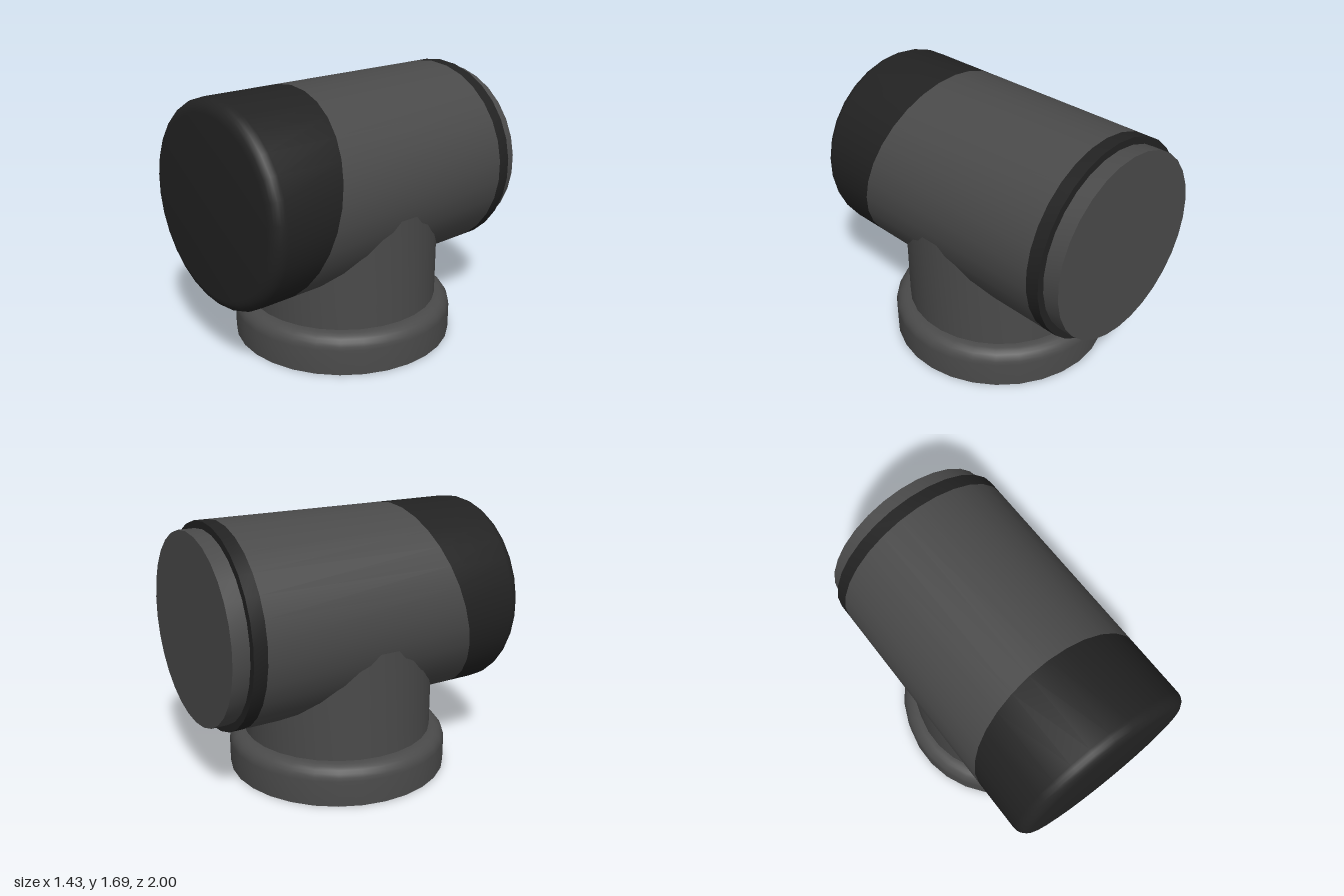
import * as THREE from 'three';
import { toCreasedNormals } from 'three/addons/utils/BufferGeometryUtils.js';

const SIDES = 30;
const AXIS_Y = 1.055;   // height of the barrel axis
const BARREL_R = 0.635;
const SEAM_Z = 0.565;   // slanted seam between body and front cap
const SEAM_SLOPE = -0.26;

const grey = new THREE.MeshStandardMaterial({ color: 0x4a4a4a });
const black = new THREE.MeshStandardMaterial({ color: 0x222222 });

// Quarter-round corner, from the side wall (r) up to the top face (h)
function roundedCorner(r, h, radius, steps = 6) {
  const pts = [];
  for (let i = 0; i <= steps; i++) {
    const a = (i / steps) * Math.PI / 2;
    pts.push([r - radius + radius * Math.cos(a), h - radius + radius * Math.sin(a)]);
  }
  return pts;
}

function lathe(profile) {
  return new THREE.LatheGeometry(profile.map(([r, h]) => new THREE.Vector2(r, h)), SIDES);
}

function part(name, geometry, material) {
  const mesh = new THREE.Mesh(toCreasedNormals(geometry, Math.PI / 6), material);
  mesh.name = name;
  return mesh;
}

// Turned part lying along z; vertices on the seam are slid onto the slanted plane
function barrelPart(name, profile, material) {
  const geometry = lathe(profile).rotateX(Math.PI / 2);
  const p = geometry.attributes.position;
  for (let i = 0; i < p.count; i++) {
    if (Math.abs(p.getZ(i) - SEAM_Z) < 1e-4) p.setZ(i, SEAM_Z + SEAM_SLOPE * p.getY(i));
  }
  geometry.translate(0, AXIS_Y, 0);
  return part(name, geometry, material);
}

export function createModel() {
  const model = new THREE.Group();
  model.name = 'teeFitting';

  // Horizontal barrel, back to front
  model.add(
    barrelPart('backPlug', [[0, -1], [0.59, -1], [0.59, -0.88]], grey),
    barrelPart('backRing', [[0.55, -0.895], [BARREL_R, -0.895], [BARREL_R, -0.81]], black),
    barrelPart('barrel', [[BARREL_R, -0.81], [BARREL_R, SEAM_Z]], grey),
    barrelPart('frontCap', [[BARREL_R, SEAM_Z], ...roundedCorner(BARREL_R, 1, 0.08), [0, 1]], black),
  );

  // Vertical neck, running up into the barrel
  model.add(part('neck', lathe([[0.62, 0.2], [0.62, 1.0]]), grey));

  // Collar with rounded shoulder and a recessed underside
  model.add(
    part('collar', lathe([[0.695, 0.08], [0.695, 0], [0.72, 0], ...roundedCorner(0.72, 0.255, 0.09), [0.6, 0.255]]), grey),
    part('undersideDisc', lathe([[0, 0.08], [0.695, 0.08]]), black),
  );

  return model;
}
